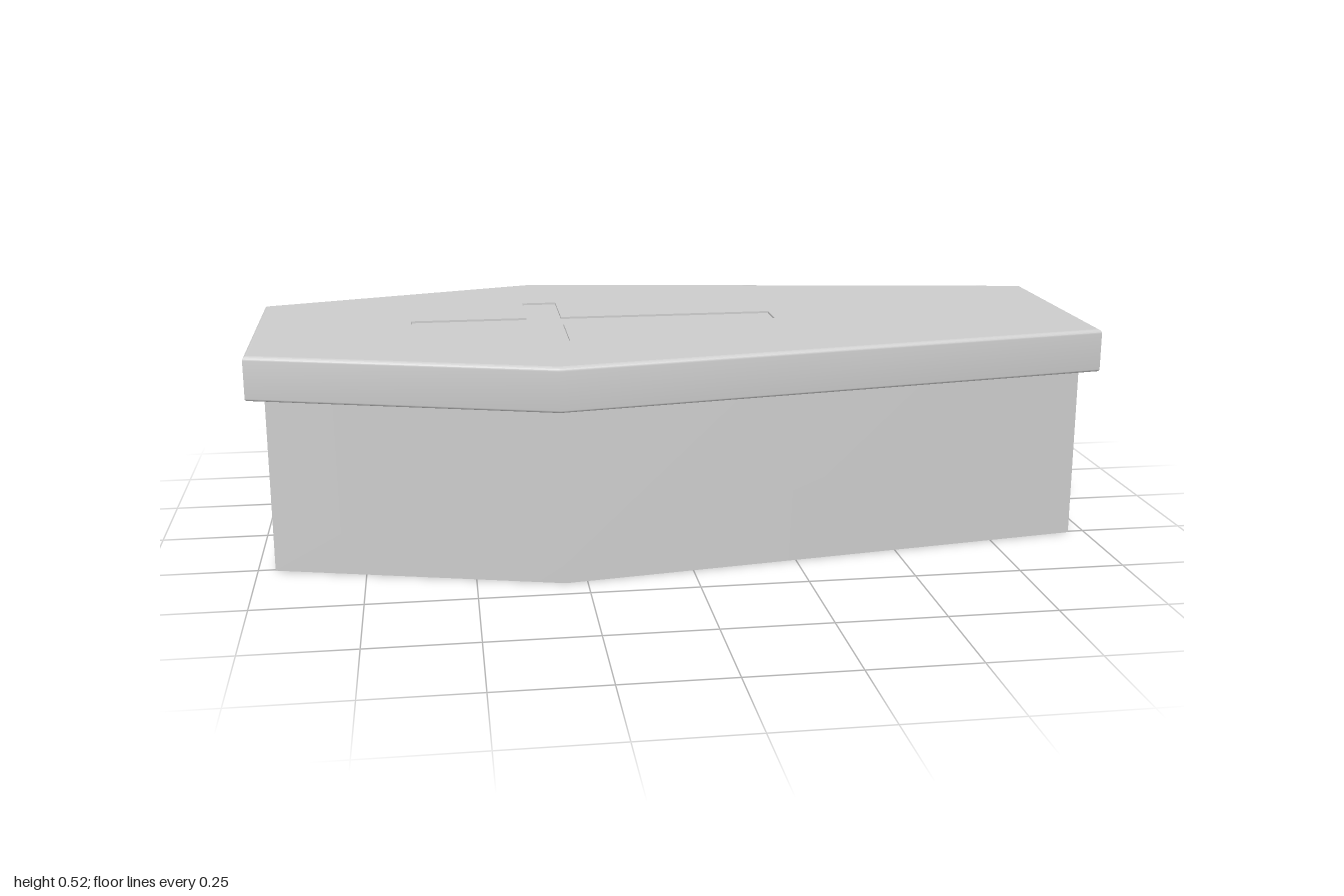
import * as THREE from 'three';
import { toCreasedNormals } from 'three/addons/utils/BufferGeometryUtils.js';

const material = new THREE.MeshStandardMaterial({ color: 0xcccccc });

// Six-sided coffin outline, counter-clockwise seen from above (second value is -z).
function outline(halfLength, endWidth, shoulderX, shoulderWidth, inset = 0) {
  const l = halfLength - inset;
  const e = endWidth - inset * 0.8;
  const w = shoulderWidth - inset * 1.03;
  return [[l, -e], [l, e], [shoulderX, w], [-l, e], [-l, -e], [shoulderX, -w]];
}

// Side walls through a stack of rings { points, y }, listed from bottom to top.
function walls(rings) {
  const positions = [];
  for (let k = 0; k < rings.length - 1; k++) {
    const low = rings[k], high = rings[k + 1], n = low.points.length;
    for (let i = 0; i < n; i++) {
      const j = (i + 1) % n;
      const at = (ring, q) => [ring.points[q][0], ring.y, -ring.points[q][1]];
      const a = at(low, i), b = at(low, j), c = at(high, j), d = at(high, i);
      positions.push(...a, ...b, ...c, ...a, ...c, ...d);
    }
  }
  const geometry = new THREE.BufferGeometry();
  geometry.setAttribute('position', new THREE.Float32BufferAttribute(positions, 3));
  return toCreasedNormals(geometry, 0.42);
}

// Flat horizontal face, optionally with a hole, facing up or down.
function cap(points, y, { hole = null, down = false } = {}) {
  const toVectors = (list) => list.map(([x, z]) => new THREE.Vector2(x, down ? -z : z));
  const shape = new THREE.Shape(toVectors(points));
  if (hole) shape.holes.push(new THREE.Path(toVectors(hole)));
  return new THREE.ShapeGeometry(shape).rotateX(down ? Math.PI / 2 : -Math.PI / 2).translate(0, y, 0);
}

function addMesh(parent, name, geometry) {
  const mesh = new THREE.Mesh(geometry, material);
  mesh.name = name;
  parent.add(mesh);
}

export function createModel() {
  const model = new THREE.Group();
  model.name = 'coffin';

  // Box, flaring slightly where it meets the lid
  const box = new THREE.Group();
  box.name = 'box';
  const boxRing = (inset, y) => ({ points: outline(0.96, 0.256, -0.3, 0.433, inset), y });
  const boxRings = [boxRing(0, 0), boxRing(0, 0.406), boxRing(-0.003, 0.412), boxRing(-0.01, 0.416)];
  addMesh(box, 'boxSides', walls(boxRings));
  addMesh(box, 'boxFloor', cap(boxRings[0].points, 0, { down: true }));
  model.add(box);

  // Lid with rounded upper and lower edges
  const lid = new THREE.Group();
  lid.name = 'lid';
  const bottom = 0.415, top = 0.518, steps = 5;
  const lidRings = [];
  const addArc = (radius, centreY, from) => {
    for (let i = 0; i <= steps; i++) {
      const angle = from + (i / steps) * Math.PI / 2;
      const inset = radius * (1 - Math.cos(angle));
      lidRings.push({
        points: outline(1, 0.287, -0.31, 0.491, inset),
        y: centreY + radius * Math.sin(angle),
      });
    }
  };
  addArc(0.006, bottom + 0.006, -Math.PI / 2);
  addArc(0.01, top - 0.01, 0);

  // Cross outline sunk into the lid
  const cross = [
    [0.255, -0.042], [0.255, 0.042], [-0.265, 0.042], [-0.265, 0.227],
    [-0.35, 0.227], [-0.35, 0.042], [-0.63, 0.042], [-0.63, -0.042],
    [-0.35, -0.042], [-0.35, -0.227], [-0.265, -0.227], [-0.265, -0.042],
  ];
  const sunkY = top - 0.005;
  const inward = [...cross].reverse();
  addMesh(lid, 'lidRim', walls(lidRings));
  addMesh(lid, 'lidTop', cap(lidRings[lidRings.length - 1].points, top, { hole: cross }));
  addMesh(lid, 'lidUnderside', cap(lidRings[0].points, bottom, { down: true }));
  addMesh(lid, 'crossRecessWalls', walls([{ points: inward, y: sunkY }, { points: inward, y: top }]));
  addMesh(lid, 'crossRecessFloor', cap(cross, sunkY));
  model.add(lid);

  return model;
}
